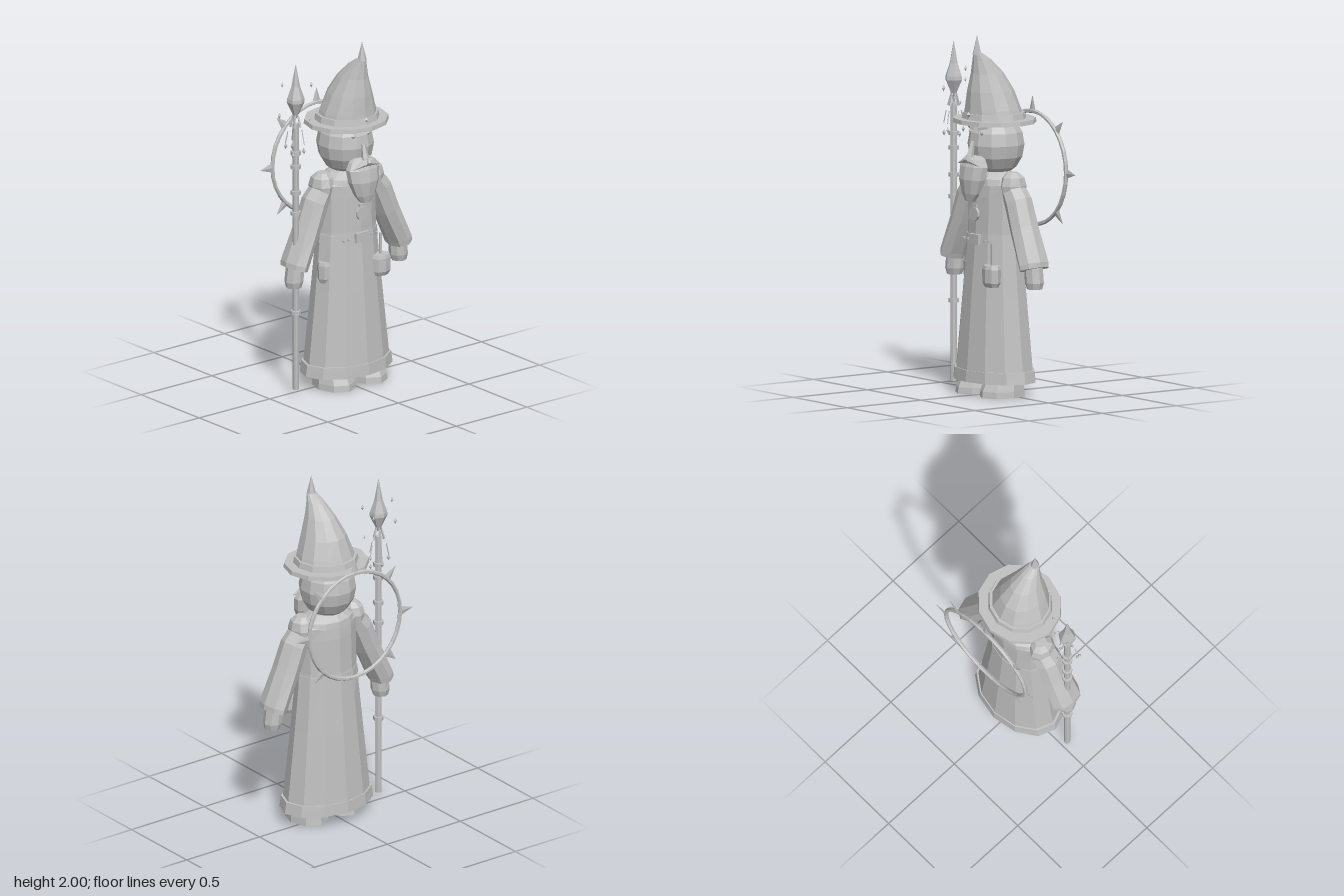
import * as THREE from 'three';

const grey = new THREE.MeshStandardMaterial({ color: 0xc0c0c0, flatShading: true });
grey.name = 'plain grey';

// Closed loft through rings [x, y, z, rx, rz, tilt], listed bottom to top
function loft(rings, n) {
  const pos = [], idx = [];
  for (const [x, y, z, rx, rz, t = 0] of rings) {
    for (let j = 0; j < n; j++) {
      const a = (j / n) * Math.PI * 2, u = Math.sin(a) * rx;
      pos.push(x + u * Math.cos(t), y + u * Math.sin(t), z + Math.cos(a) * rz);
    }
  }
  const last = (rings.length - 1) * n;
  for (let i = 0; i < last; i += n) {
    for (let j = 0; j < n; j++) {
      const k = (j + 1) % n;
      idx.push(i + j, i + k, i + n + k, i + j, i + n + k, i + n + j);
    }
  }
  for (let j = 1; j < n - 1; j++) idx.push(0, j + 1, j, last, last + j, last + j + 1);
  const g = new THREE.BufferGeometry();
  g.setAttribute('position', new THREE.Float32BufferAttribute(pos, 3));
  g.setIndex(idx);
  const flat = g.toNonIndexed();
  flat.computeVertexNormals();
  return flat;
}

const mirror = (rings, s) => rings.map(([x, y, z, rx, rz, t = 0]) => [x * s, y, z, rx, rz, t * s]);

export function createModel() {
  const model = new THREE.Group();
  model.name = 'wizard';
  // The body axis sits slightly off the origin
  const body = new THREE.Group();
  body.name = 'figure';
  body.position.set(0.025, 0, 0.02);
  model.add(body);

  function add(name, geo, x = 0, y = 0, z = 0, parent = body) {
    const m = new THREE.Mesh(geo, grey);
    m.name = name;
    m.position.set(x, y, z);
    parent.add(m);
    return m;
  }
  const box = (w, h, d) => new THREE.BoxGeometry(w, h, d);
  const cyl = (top, bottom, h, n) => new THREE.CylinderGeometry(top, bottom, h, n);

  // Robe, hem, belt and collar
  add('robe', loft([
    [0, 0.1, 0, 0.265, 0.188], [0, 0.145, 0, 0.262, 0.187], [0, 0.55, 0, 0.218, 0.157],
    [0, 0.9, 0, 0.183, 0.128], [0, 1.1, 0, 0.18, 0.122], [0, 1.17, 0, 0.185, 0.115],
    [0, 1.23, 0, 0.11, 0.08],
  ], 12));
  add('hem', loft([[0, 0.08, 0, 0.286, 0.197], [0, 0.145, 0, 0.276, 0.193]], 12));
  add('belt', loft([[0, 0.835, 0, 0.193, 0.136], [0, 0.885, 0, 0.188, 0.132]], 12));
  add('collar', loft([[0, 1.165, 0, 0.17, 0.125], [0, 1.2, 0, 0.155, 0.12], [0, 1.235, 0, 0.1, 0.085]], 12));
  add('buckle', box(0.086, 0.055, 0.02), 0, 0.865, 0.133);
  for (const x of [-0.115, -0.08, 0.08, 0.115]) add('beltStud', box(0.012, 0.012, 0.012), x, 0.86, 0.122);
  add('medallion', cyl(0.04, 0.04, 0.014, 10), 0, 1.005, 0.137).rotation.x = Math.PI / 2;
  add('medallionLink', box(0.035, 0.02, 0.012), 0, 1.05, 0.134);

  // Belt pouches
  for (const [x, z, w] of [[0.143, 0.125, 1], [-0.17, 0.03, 0.8]]) {
    add('pouch', loft([
      [0, 0.615, 0, 0.048 * w, 0.03], [0, 0.64, 0, 0.06 * w, 0.044],
      [0, 0.715, 0, 0.062 * w, 0.045], [0, 0.735, 0, 0.055 * w, 0.04],
    ], 8), x, 0, z);
    add('pouchStrap', box(0.012, 0.13, 0.012), x, 0.79, z - 0.005);
  }

  // Feet, arms, hands and shoulder caps
  for (const s of [1, -1]) {
    add('foot', loft([
      [s * 0.113, 0, 0.03, 0.108, 0.137], [s * 0.113, 0.035, 0.03, 0.106, 0.132],
      [s * 0.113, 0.14, 0.01, 0.09, 0.1],
    ], 8));
    add('sleeve', loft(mirror([
      [0.37, 0.728, 0, 0.062, 0.094, 0.3], [0.363, 0.755, 0, 0.066, 0.096, 0.3],
      [0.278, 0.94, 0, 0.07, 0.086, 0.4], [0.222, 1.08, 0, 0.074, 0.08, 0.5],
      [0.16, 1.165, 0, 0.06, 0.07, 0.85],
    ], s), 8));
    add('hand', loft(mirror([
      [0.372, 0.62, 0, 0.042, 0.043], [0.37, 0.655, 0, 0.053, 0.053],
      [0.362, 0.74, 0, 0.05, 0.052, 0.3],
    ], s), 8));
    add('shoulderCap', loft([
      [s * 0.18, 1.13, 0, 0.055, 0.075], [s * 0.178, 1.17, 0, 0.062, 0.08],
      [s * 0.175, 1.215, 0, 0.055, 0.065], [s * 0.17, 1.242, 0, 0.03, 0.035],
    ], 8));
  }

  // Head and face
  const head = new THREE.SphereGeometry(1, 12, 8);
  head.scale(0.157, 0.178, 0.16);
  head.rotateY(Math.PI / 12);
  add('head', head, 0, 1.382, -0.01);
  add('beard', loft([
    [0, 1.08, 0.165, 0.035, 0.025], [0, 1.12, 0.16, 0.068, 0.04], [0, 1.2, 0.15, 0.1, 0.06],
    [0, 1.27, 0.14, 0.108, 0.058], [0, 1.31, 0.135, 0.085, 0.045], [0, 1.33, 0.13, 0.05, 0.03],
  ], 10));
  add('nose', cyl(0.01, 0.026, 0.11, 5), 0, 1.355, 0.16).rotation.x = -0.25;
  for (const s of [1, -1]) {
    const whisker = add('moustache', new THREE.ConeGeometry(0.028, 0.12, 6), s * 0.045, 1.295, 0.175);
    whisker.rotation.z = -s * 1.85;
    const eye = add('eye', new THREE.OctahedronGeometry(0.02), s * 0.05, 1.455, 0.125);
    eye.scale.set(1, 0.9, 0.5);
    const brow = add('eyebrow', box(0.06, 0.014, 0.02), s * 0.06, 1.482, 0.12);
    brow.rotation.set(0, s * 0.35, s * 0.2);
  }

  // Hat with a crown that leans forward
  add('hatBrim', loft([[0, 1.503, 0, 0.242, 0.226], [0, 1.527, 0, 0.238, 0.223]], 12));
  add('hatBand', loft([[0, 1.525, 0.005, 0.185, 0.175], [0, 1.56, 0.005, 0.177, 0.168]], 12));
  add('hatCrown', loft([
    [0, 1.525, 0.005, 0.172, 0.164], [0, 1.58, 0.012, 0.158, 0.153], [0, 1.68, 0.027, 0.122, 0.133],
    [0.003, 1.78, 0.053, 0.08, 0.094], [0.007, 1.855, 0.091, 0.047, 0.054], [0.009, 1.893, 0.12, 0.029, 0.024],
  ], 12));
  add('hatTip', new THREE.ConeGeometry(0.027, 0.11, 6), 0.009, 1.94, 0.125);
  add('hatGem', new THREE.OctahedronGeometry(0.016), 0, 1.555, 0.175);

  // Halo ring with flat spikes behind the back
  const halo = new THREE.Group();
  halo.name = 'halo';
  halo.position.set(0, 1.23, -0.257);
  body.add(halo);
  add('haloRing', new THREE.TorusGeometry(0.312, 0.012, 6, 32), 0, 0, 0, halo);
  for (let i = 0; i < 8; i++) {
    const a = (i * Math.PI) / 4;
    const spike = add('haloSpike', new THREE.ConeGeometry(0.03, 0.09, 4), Math.cos(a) * 0.355, Math.sin(a) * 0.355, 0, halo);
    spike.rotation.z = a - Math.PI / 2;
    spike.scale.z = 0.25;
  }

  // Staff with rings, crystal and prongs
  const staff = new THREE.Group();
  staff.name = 'staff';
  staff.position.set(-0.366, 0, 0.01);
  body.add(staff);
  add('staffPole', cyl(0.017, 0.017, 1.54, 8), 0, 0.8, 0, staff);
  for (const y of [0.475, 1.05, 1.17, 1.32, 1.4]) add('staffRing', cyl(0.029, 0.029, 0.022, 8), 0, y, 0, staff);
  add('staffCrystal', loft([
    [0, 1.6, 0, 0.006, 0.006], [0, 1.695, 0, 0.05, 0.05], [0, 1.715, 0, 0.048, 0.048],
    [0, 1.785, 0, 0.024, 0.024], [0, 1.91, 0, 0.001, 0.001],
  ], 6));
  const crystal = body.children[body.children.length - 1];
  staff.add(crystal);
  for (let i = 0; i < 5; i++) {
    const a = (i / 5) * Math.PI * 2;
    const prong = new THREE.Group();
    prong.name = 'staffProng';
    prong.rotation.y = a;
    staff.add(prong);
    add('prongRod', cyl(0.004, 0.007, 0.09, 4), 0.02, 1.595, 0, prong).rotation.z = 0.25;
    add('charmRod', cyl(0.003, 0.003, 0.07, 4), 0.05, 1.49, 0, prong).rotation.z = 0.2;
    add('charm', new THREE.OctahedronGeometry(0.01), 0.055, 1.4 + (i % 3) * 0.02, 0, prong).scale.y = 1.8;
  }

  // Floating shards around the crystal
  for (const [x, y, z, r] of [
    [0.11, 1.77, 0, 0.01], [-0.108, 1.633, -0.01, 0.011], [-0.055, 1.79, -0.05, 0.009],
    [0.085, 1.58, 0.015, 0.007], [0.06, 1.7, -0.035, 0.008],
  ]) add('floatingShard', new THREE.OctahedronGeometry(r), x, y, z, staff).scale.y = 1.7;

  return model;
}
